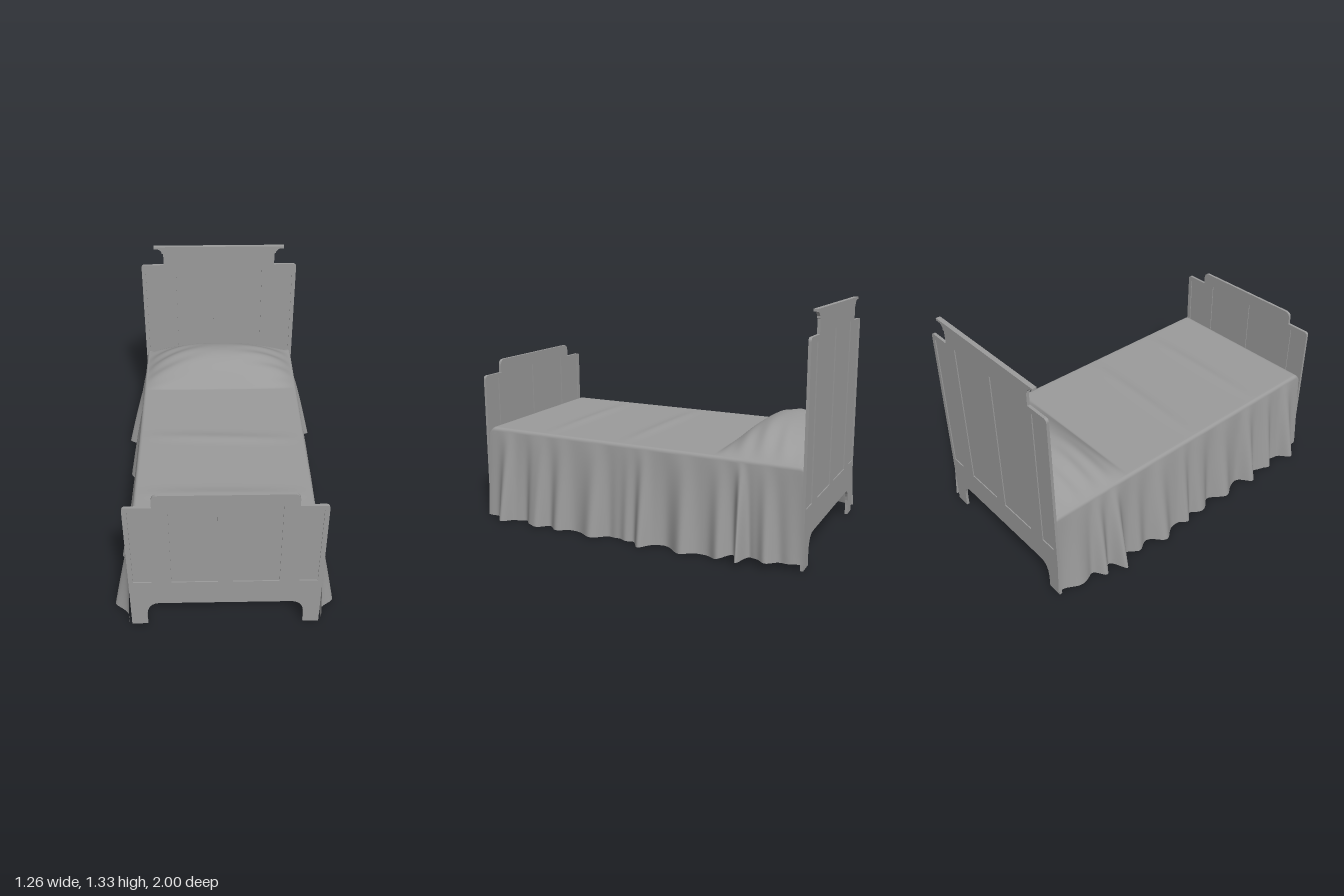
import * as THREE from 'three';

const material = new THREE.MeshStandardMaterial({ color: 0x9a9a9a });
const clothMaterial = new THREE.MeshStandardMaterial({ color: 0x9a9a9a, side: THREE.DoubleSide });

function addMesh(parent, name, geometry, mat = material) {
  const mesh = new THREE.Mesh(geometry, mat);
  mesh.name = name;
  parent.add(mesh);
  return mesh;
}

function addBox(parent, name, w, h, d, x, y, z) {
  addMesh(parent, name, new THREE.BoxGeometry(w, h, d)).position.set(x, y, z);
}

// Rounded corner: points from p to q, pulled towards c
function corner(p, c, q) {
  const curve = new THREE.QuadraticBezierCurve(new THREE.Vector2(...p), new THREE.Vector2(...c), new THREE.Vector2(...q));
  return curve.getPoints(6);
}

function rectPath(x0, x1, y0, y1) {
  return new THREE.Path([[x0, y0], [x0, y1], [x1, y1], [x1, y0]].map(p => new THREE.Vector2(...p)));
}

// Flat board on two legs, with four sunk panels; crown is its right-hand upper outline
function makeBoard(name, shoulder, crown, panelTop, sidePanelTop, z, depth) {
  const board = new THREE.Group();
  board.name = name;
  const half = [
    new THREE.Vector2(0, 0.165),
    ...corner([0.36, 0.165], [0.425, 0.158], [0.425, 0.06]),
    new THREE.Vector2(0.425, 0),
    new THREE.Vector2(0.512, 0),
    ...corner([0.512, shoulder - 0.02], [0.512, shoulder], [0.49, shoulder]),
    new THREE.Vector2(0.365, shoulder),
    ...crown,
  ];
  const mirrored = half.slice(1).reverse().map(p => new THREE.Vector2(-p.x, p.y));
  const shape = new THREE.Shape([...half, ...mirrored]);

  for (const s of [-1, 1]) {
    for (const [a, b, top] of [[0.04, 0.285, panelTop], [0.39, 0.487, sidePanelTop]]) {
      const [x0, x1] = s > 0 ? [a, b] : [-b, -a];
      shape.holes.push(rectPath(x0, x1, 0.327, top));
      addBox(board, 'sunkPanel', b - a, top - 0.327, depth * 0.25, s * (a + b) / 2, (top + 0.327) / 2, z);
    }
  }
  const geometry = new THREE.ExtrudeGeometry(shape, { depth, bevelEnabled: false });
  geometry.translate(0, 0, z - depth / 2);
  addMesh(board, name + 'Frame', geometry);
  return board;
}

// Fold peaks of each skirt: position along the bed, outward reach at the hem, width
const folds = {
  right: [[-0.79, 0.05, 0.05], [-0.66, 0.105, 0.025], [-0.53, 0.055, 0.055], [-0.33, 0.07, 0.06], [-0.08, 0.075, 0.05],
    [0.04, 0.03, 0.05], [0.25, 0.075, 0.07], [0.46, 0.065, 0.06], [0.63, 0.07, 0.06], [0.85, 0.08, 0.055]],
  left: [[-0.86, 0.04, 0.05], [-0.72, 0.07, 0.045], [-0.6, 0.115, 0.035], [-0.45, 0.035, 0.05], [-0.26, 0.075, 0.08],
    [-0.08, 0.055, 0.055], [0.06, 0.06, 0.05], [0.27, 0.07, 0.06], [0.49, 0.075, 0.055], [0.66, 0.06, 0.06], [0.86, 0.085, 0.06]],
};

function hemReach(side, z) {
  let reach = 0.022 + 0.006 * Math.sin(z * 58 + 2 * Math.sin(z * 9));
  for (const [centre, height, width] of folds[side]) {
    reach += height * Math.exp(-(((z - centre) / width) ** 2));
  }
  return reach;
}

// Height of the cover over the mattress: pillow mound plus two soft creases
function coverHeight(x, z) {
  const across = Math.min(1, Math.abs(x) / 0.482);
  const d = (z + 0.72) / (z > -0.72 ? 0.25 : 0.26);
  const tuck = THREE.MathUtils.smoothstep(z, -0.958, -0.93);
  const mound = 0.15 * Math.max(0, 1 - d * d) ** (z > -0.72 ? 1.1 : 0.75) * (1 - across ** 2.6) * tuck;
  const wrinkle = 0.12 * mound * across ** 2 * Math.sin(z * 55 + x * 9);
  const crease = (centre, slope) => 0.009 * Math.exp(-(((z - centre - slope * x) / 0.042) ** 2)) * (1 - across ** 2);
  const endDrop = 0.02 * Math.max(0, (Math.abs(z) - 0.95) / 0.03) ** 2;
  return 0.548 + mound + wrinkle + crease(0.055, 0.05) + crease(0.56, 0.02) - endDrop;
}

function coverPoint(u, z) {
  const side = u < 0 ? 'left' : 'right';
  const s = Math.sign(u);
  const a = Math.abs(u);
  const zTop = z > 0 ? z * 0.982 : z * 0.966;
  if (a <= 1) {
    // Top, up to the rounded mattress edge
    const x = u * 0.482;
    return [x, coverHeight(x, zTop), zTop];
  }
  if (a <= 1.2) {
    const angle = (a - 1) / 0.2 * Math.PI / 2;
    return [s * (0.482 + 0.02 * Math.sin(angle)), coverHeight(0.482, zTop) - 0.022 * (1 - Math.cos(angle)), zTop];
  }
  // Hanging skirt
  const t = (a - 1.2) / 0.8;
  const rise = 0.03 * THREE.MathUtils.smoothstep(-z, 0.48, 0.66);
  const yTop = coverHeight(0.482, zTop) - 0.022;
  const hem = rise + 0.003 + 0.003 * Math.sin(z * 31);
  return [s * (0.502 + hemReach(side, z) * t ** 0.9), yTop + (hem - yTop) * t, zTop + (z * 0.997 - zTop) * t];
}

function makeCover() {
  const columns = [];
  for (let i = 0; i < 16; i++) columns.push(-2 + 0.8 * i / 16);
  for (let i = 0; i < 5; i++) columns.push(-1.2 + 0.2 * i / 5);
  for (let i = 0; i < 36; i++) columns.push(-1 + i / 18);
  for (let i = 0; i < 5; i++) columns.push(1 + 0.2 * i / 5);
  for (let i = 0; i <= 16; i++) columns.push(1.2 + 0.8 * i / 16);

  const rows = 260;
  const n = columns.length;
  const positions = [];
  const index = [];
  for (let r = 0; r <= rows; r++) {
    for (const u of columns) positions.push(...coverPoint(u, -1 + 2 * r / rows));
  }
  for (let r = 0; r < rows; r++) {
    for (let c = 0; c < n - 1; c++) {
      const k = r * n + c;
      index.push(k, k + n, k + 1, k + 1, k + n, k + n + 1);
    }
  }
  const geometry = new THREE.BufferGeometry();
  geometry.setAttribute('position', new THREE.Float32BufferAttribute(positions, 3));
  geometry.setIndex(index);
  geometry.computeVertexNormals();
  return geometry;
}

export function createModel() {
  const bed = new THREE.Group();
  bed.name = 'bed';

  // Footboard with a raised, rounded middle
  const footCrown = corner([0.365, 0.9], [0.365, 0.938], [0.33, 0.938]);
  bed.add(makeBoard('footboard', 0.86, footCrown, 0.862, 0.83, 0.992, 0.016));

  // Headboard with a flared cornice
  const headCrown = [
    new THREE.Vector2(0.365, 1.278),
    new THREE.Vector2(0.375, 1.28),
    ...corner([0.375, 1.29], [0.388, 1.312], [0.415, 1.316]),
    new THREE.Vector2(0.415, 1.328),
  ];
  const headboard = makeBoard('headboard', 1.2, headCrown, 1.2, 1.168, -0.977, 0.016);
  addBox(headboard, 'corniceCap', 0.85, 0.014, 0.026, 0, 1.323, -0.976);
  bed.add(headboard);

  // Mattress on a base with side rails, reaching from board to board
  addBox(bed, 'mattress', 0.95, 0.31, 1.952, 0, 0.365, 0.008);
  for (const s of [-1, 1]) {
    addBox(bed, 'sideRail', 0.022, 0.08, 1.952, s * 0.472, 0.225, 0.008);
    addBox(bed, 'railLip', 0.012, 0.03, 1.952, s * 0.488, 0.235, 0.008);
  }

  // Draped cover over mattress and pillow
  addMesh(bed, 'cover', makeCover(), clothMaterial);
  return bed;
}
